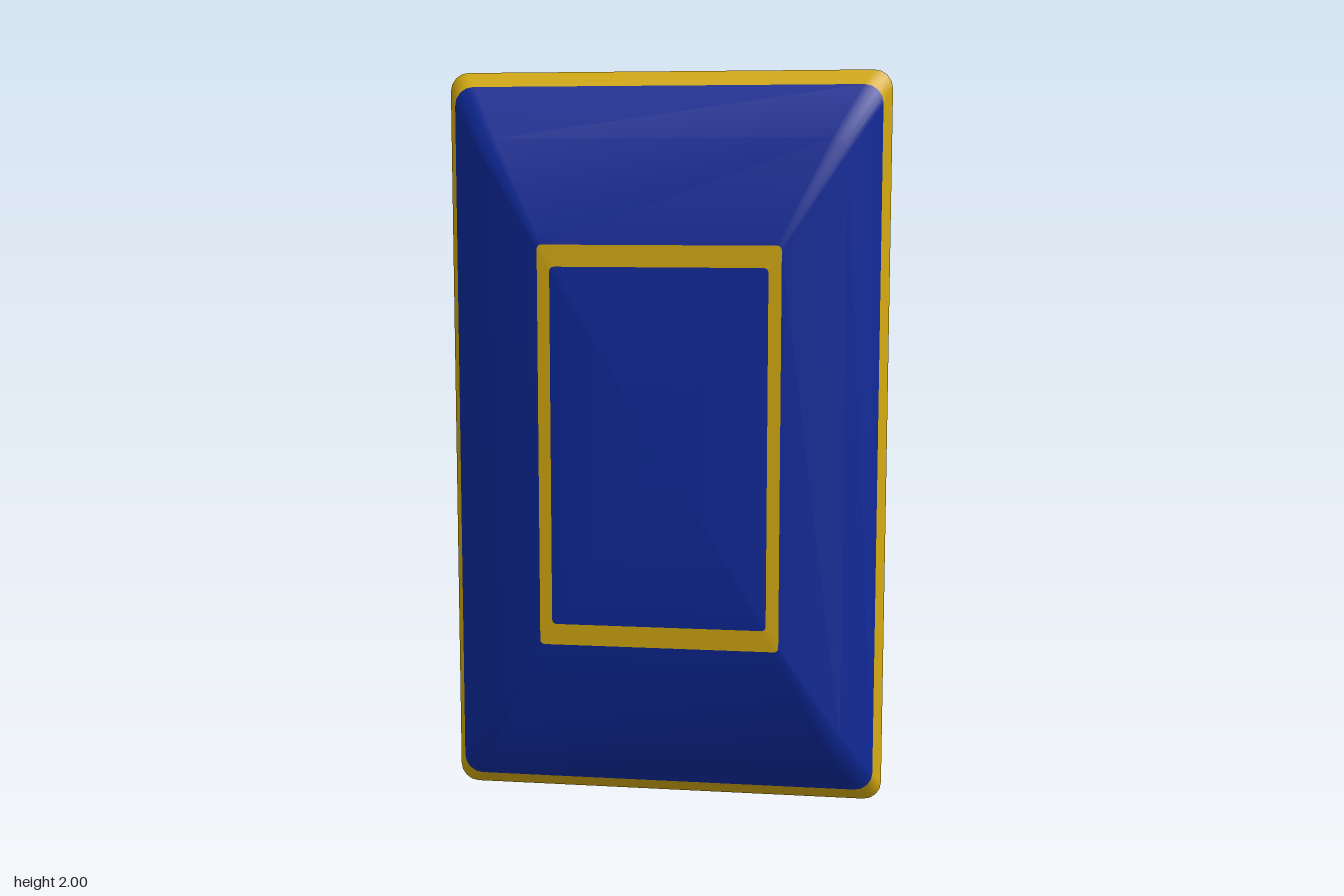
import * as THREE from 'three';
import { mergeVertices } from 'three/addons/utils/BufferGeometryUtils.js';

const blue = new THREE.MeshStandardMaterial({ name: 'deep blue', color: 0x0e299a });
const gold = new THREE.MeshStandardMaterial({ name: 'gold', color: 0xd4aa11 });
const grey = new THREE.MeshStandardMaterial({ name: 'grey', color: 0x8c8c9c });

const STEPS = 4; // segments per rounded corner

// Rounded rectangle cross-section, counter-clockwise seen from the front
function ring([halfW, halfH, z, r]) {
  const points = [];
  [[1, 1], [-1, 1], [-1, -1], [1, -1]].forEach(([sx, sy], corner) => {
    for (let i = 0; i <= STEPS; i++) {
      const a = (corner + i / STEPS) * Math.PI / 2;
      points.push([
        sx * (halfW - r) + r * Math.cos(a),
        sy * (halfH - r) + r * Math.sin(a),
        z,
      ]);
    }
  });
  return points;
}

// Surface through a series of rounded rectangles
function loft(sections) {
  const rings = sections.map(ring);
  const n = rings[0].length;
  const index = [];
  for (let k = 0; k < rings.length - 1; k++) {
    for (let i = 0; i < n; i++) {
      const a = k * n + i, b = k * n + (i + 1) % n;
      index.push(a, b, b + n, a, b + n, a + n);
    }
  }
  let geometry = new THREE.BufferGeometry();
  geometry.setAttribute('position', new THREE.Float32BufferAttribute(rings.flat(2), 3));
  geometry.setIndex(index);
  geometry = mergeVertices(geometry, 1e-5);
  geometry.computeVertexNormals();
  return geometry;
}

export function createModel() {
  const model = new THREE.Group();
  model.name = 'shield';

  const add = (name, geometry, material) => {
    const mesh = new THREE.Mesh(geometry, material);
    mesh.name = name;
    model.add(mesh);
    return mesh;
  };

  // Sections: half width, half height, z, corner radius
  const floorCentre = [0, 0, -0.09, 0];
  const floorEdge = [0.5, 0.86, -0.09, 0.02];
  const rimBack = [0.57, 0.95, -0.12, 0.03];
  const rimWide = [0.6, 1.0, -0.08, 0.05];
  const rimFront = [0.577, 0.96, -0.035, 0.05];
  const shoulder = [0.49, 0.82, 0.056, 0.04];
  const frameOuter = [0.325, 0.542, 0.105, 0.012];
  const frameInner = [0.291, 0.484, 0.108, 0.012];
  const apex = [0, 0, 0.142, 0];

  // Hollow back
  add('backPanel', loft([floorCentre, floorEdge]), blue);
  add('backWall', loft([floorEdge, rimBack]), blue);

  // Bevelled rim
  add('rimBackBevel', loft([rimBack, rimWide]), gold);
  add('rimFrontBevel', loft([rimWide, rimFront]), gold);

  // Domed face with inset frame
  add('faceOuter', loft([rimFront, shoulder, frameOuter]), blue);
  add('faceFrame', loft([frameOuter, frameInner]), gold);
  add('faceCentre', loft([frameInner, apex]), blue);

  // Grips set into the back walls
  for (const s of [-1, 1]) {
    const side = add(s > 0 ? 'leftGrip' : 'rightGrip', new THREE.CapsuleGeometry(0.015, 0.34, 4, 10), grey);
    side.position.set(s * 0.532, 0, -0.1);
    const end = add(s > 0 ? 'topGrip' : 'bottomGrip', new THREE.CapsuleGeometry(0.018, 0.21, 4, 10), grey);
    end.rotation.z = Math.PI / 2;
    end.position.set(0, s * 0.9, -0.1);
  }

  // The whole shield is turned slightly
  model.rotation.y = 0.044;
  model.position.y = 1;

  const root = new THREE.Group();
  root.name = 'shieldModel';
  root.add(model);
  return root;
}
